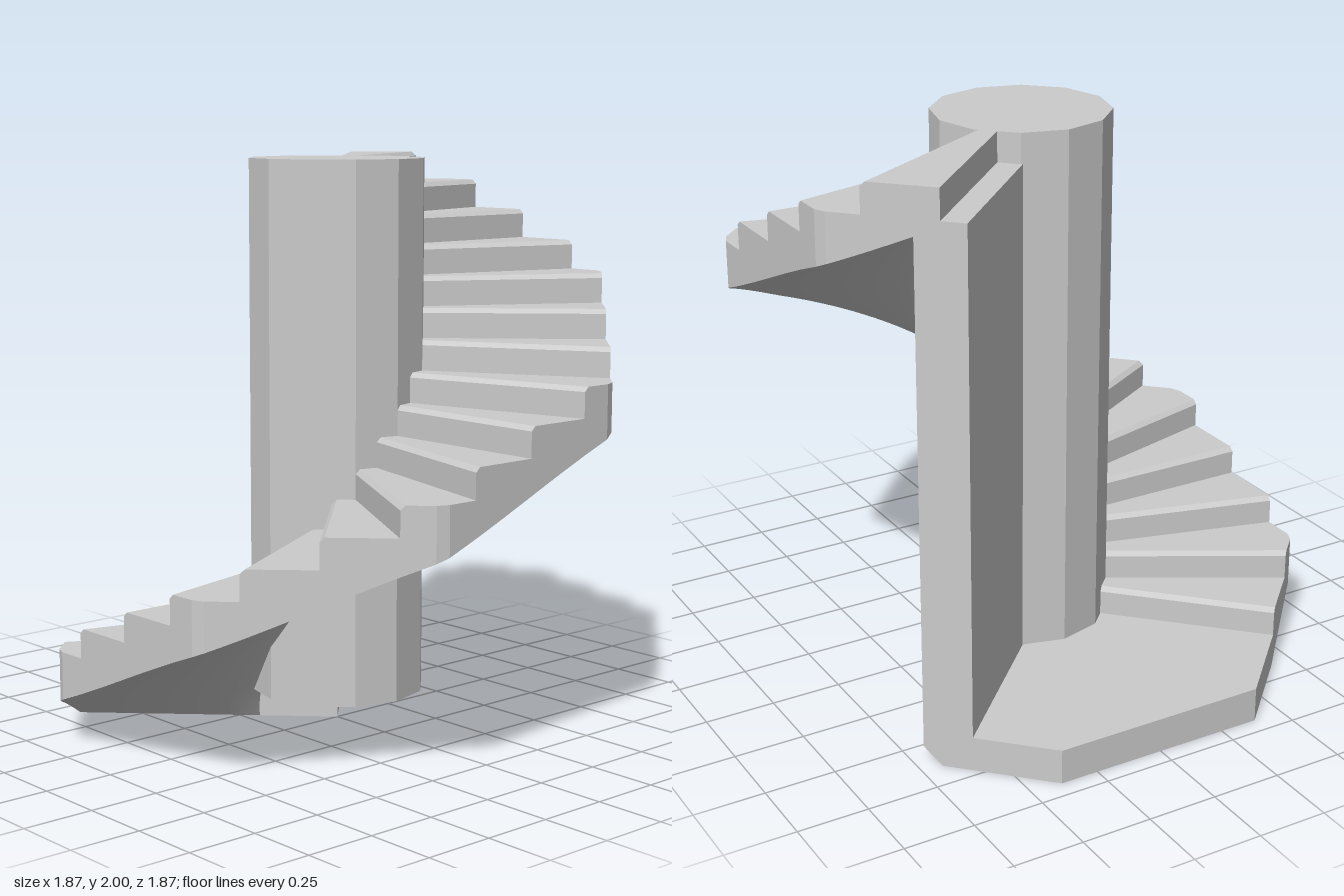
import * as THREE from 'three';
import { ParametricGeometry } from 'three/addons/geometries/ParametricGeometry.js';

const STEPS = 18, SWEEP = Math.PI / 12;       // 18 treads of 15 degrees
const LANDING = 0.124, RISE = (2 - LANDING) / STEPS;
const APOTHEM = 0.935, COLUMN_R = 0.31, INNER = 0.28, NOSE = 0.016;

// Octagonal outer edge with slightly clipped corners
function outerRadius(a) {
  const d = Math.abs(a - Math.round(a / (Math.PI / 4)) * Math.PI / 4);
  return Math.min(APOTHEM / Math.cos(d), 1.003 / Math.cos(Math.PI / 8 - d));
}

// Angle of a position along the flight, in treads from the first riser
const angleAt = (i) => -Math.PI / 4 + i * SWEEP;
const place = (r, a, y) => new THREE.Vector3(-Math.cos(a) * r, y, Math.sin(a) * r);
const soffit = (a) => RISE * (a + Math.PI / 4) / SWEEP;

// Radial slice: inner bottom, outer bottom, outer top, inner top
function slice(aIn, aOut, top) {
  const r = outerRadius(aOut);
  return [place(INNER, aIn, soffit(aIn)), place(r, aOut, soffit(aOut)),
    place(r, aOut, top), place(INNER, aIn, top)];
}

// Treads with chamfered front edges and flat outer sides
function stepsGeometry() {
  const pos = [];
  const quad = (a, b, c, d) => [a, b, c, a, c, d].forEach((p) => pos.push(p.x, p.y, p.z));
  for (let i = 0; i < STEPS; i++) {
    const a = angleAt(i), top = LANDING + RISE * (i + 1);
    const slices = [
      slice(a, a, top - NOSE),
      slice(a + NOSE / INNER, a + NOSE / outerRadius(a), top),
      ...[5 / 12, 7 / 12, 1].map((t) => slice(angleAt(i + t), angleAt(i + t), top)),
    ];
    quad(...slices[0]);                         // riser
    for (let k = 0; k + 1 < slices.length; k++) {
      const A = slices[k], B = slices[k + 1];
      quad(A[1], B[1], B[2], A[2]);             // outer side
      quad(A[2], B[2], B[3], A[3]);             // tread or chamfer
    }
    if (i === STEPS - 1) quad(...slices.at(-1).reverse());
  }
  const g = new THREE.BufferGeometry();
  g.setAttribute('position', new THREE.Float32BufferAttribute(pos, 3));
  g.computeVertexNormals();
  return g;
}

export function createModel() {
  const group = new THREE.Group();
  const flat = new THREE.MeshStandardMaterial({ color: 0xcccccc, flatShading: true });
  const smooth = new THREE.MeshStandardMaterial({ color: 0xcccccc, side: THREE.DoubleSide });
  const add = (name, geometry, material = flat) => {
    const mesh = new THREE.Mesh(geometry, material);
    mesh.name = name;
    group.add(mesh);
  };

  // Twelve-sided central column
  const column = new THREE.CylinderGeometry(COLUMN_R, COLUMN_R, 2 - LANDING, 12);
  column.translate(0, (2 + LANDING) / 2, 0);
  add('column', column);

  add('steps', stepsGeometry());

  // Smooth spiral underside of the flight
  add('underside', new ParametricGeometry((u, v, target) => {
    const a = angleAt(u * STEPS);
    target.copy(place(THREE.MathUtils.lerp(INNER, outerRadius(a), v), a, soffit(a)));
  }, STEPS * 12, 6), smooth);

  // Bottom landing: a quarter of the octagon
  const corner = APOTHEM * Math.SQRT1_2, half = APOTHEM * Math.tan(Math.PI / 8);
  const plan = new THREE.Shape([[0, 0], [corner, corner], [half, APOTHEM], [-half, APOTHEM], [-corner, corner]]
    .map(([x, y]) => new THREE.Vector2(x, y)));
  const landing = new THREE.ExtrudeGeometry(plan, { depth: LANDING, bevelEnabled: false });
  landing.rotateX(-Math.PI / 2);
  add('landing', landing);

  // Support wall under the top step, chamfered along its lower front edge
  const ledge = 2 - RISE;
  const section = new THREE.Shape([[0.085, 0], [0.085, ledge], [0, ledge], [-0.085, 1.86], [-0.085, 0.065], [-0.02, 0]]
    .map(([x, y]) => new THREE.Vector2(x, y)));
  const wall = new THREE.ExtrudeGeometry(section, { depth: APOTHEM - 0.21, bevelEnabled: false });
  wall.translate(0, 0, 0.21);
  wall.rotateY(Math.PI * 0.75);
  add('supportWall', wall);

  return group;
}
